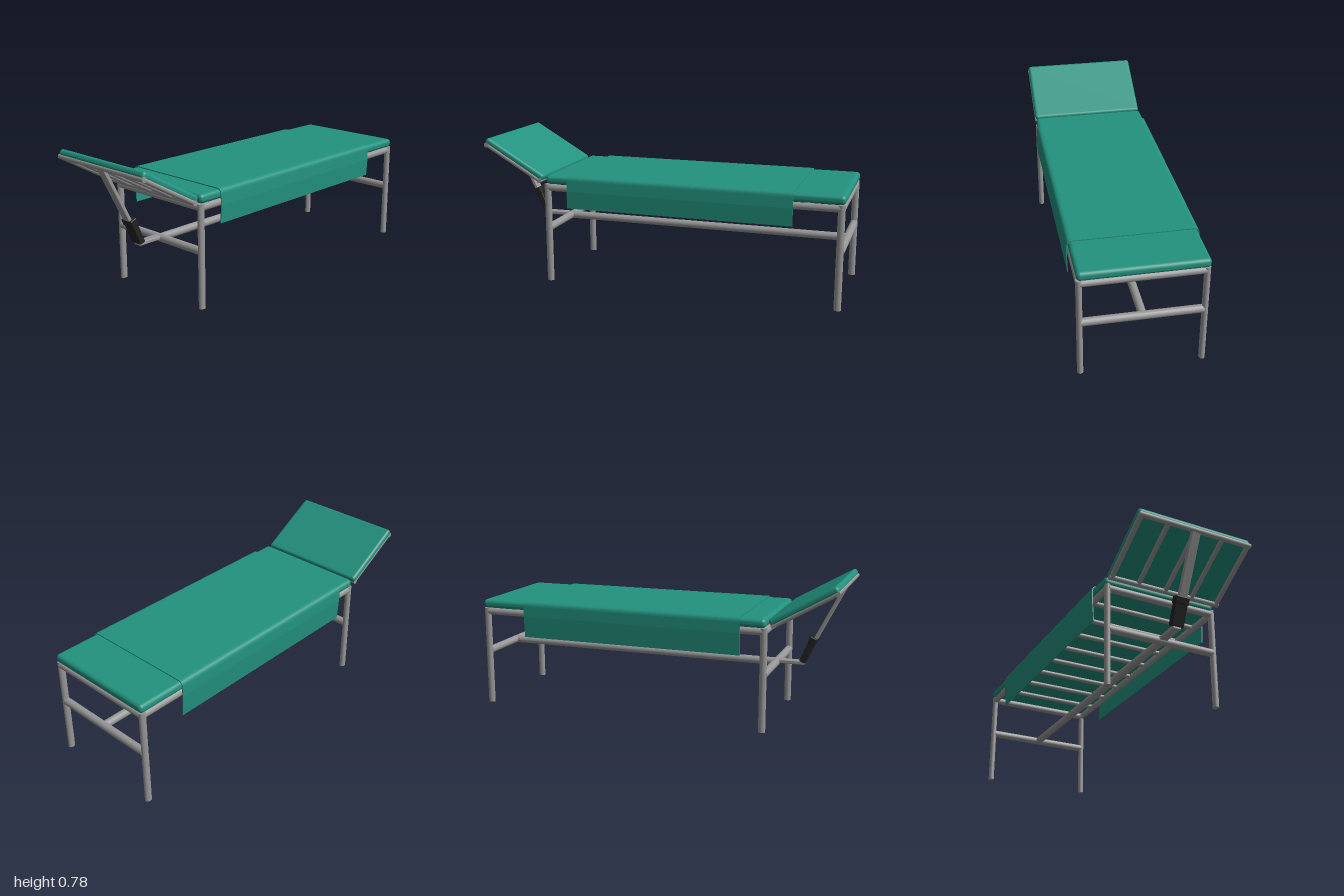
import * as THREE from 'three';
import { RoundedBoxGeometry } from 'three/addons/geometries/RoundedBoxGeometry.js';

export function createModel() {
  const model = new THREE.Group();
  model.name = 'examinationCouch';
  const mat = (name, color) => {
    const m = new THREE.MeshStandardMaterial({ color });
    m.name = name;
    return m;
  };
  const teal = mat('teal upholstery', 0x23927f);
  const grey = mat('grey tube', 0x979797);
  const black = mat('black grip', 0x232323);

  const add = (parent, name, geometry, material, x = 0, y = 0, z = 0) => {
    const mesh = new THREE.Mesh(geometry, material);
    mesh.name = name;
    mesh.position.set(x, y, z);
    parent.add(mesh);
    return mesh;
  };

  // Straight tube between two points
  const tube = (parent, name, a, b, r) => {
    const p = new THREE.Vector3(...a), q = new THREE.Vector3(...b);
    const d = q.clone().sub(p);
    const mesh = add(parent, name, new THREE.CylinderGeometry(r, r, d.length(), 20), grey);
    mesh.position.copy(p).add(q).multiplyScalar(0.5);
    mesh.quaternion.setFromUnitVectors(new THREE.Vector3(0, 1, 0), d.normalize());
    return mesh;
  };

  // Flat bar between two points in the z = 0 plane
  const bar = (name, a, b, thick, width, material) => {
    const dx = b[0] - a[0], dy = b[1] - a[1];
    const geometry = new RoundedBoxGeometry(thick, Math.hypot(dx, dy), width, 2, 0.005);
    const mesh = add(model, name, geometry, material, (a[0] + b[0]) / 2, (a[1] + b[1]) / 2, 0);
    mesh.rotation.z = Math.atan2(-dx, dy);
  };

  // Legs and end frames
  const headX = -0.62, footX = 0.975, sideZ = 0.305;
  for (const x of [headX, footX]) {
    for (const s of [-1, 1]) {
      const leg = tube(model, 'leg', [x, 0, s * sideZ], [x, 0.55, s * sideZ], 0.019);
      leg.scale.z = 0.82;
    }
    tube(model, 'endRail', [x, 0.531, -0.3], [x, 0.531, 0.3], 0.019);
    tube(model, 'crossBar', [x, 0.304, -0.3], [x, 0.304, 0.3], 0.021);
  }

  // Long rails, stretcher and bed slats
  for (const s of [-1, 1]) {
    const rail = tube(model, 'sideRail', [headX, 0.531, s * sideZ], [footX, 0.531, s * sideZ], 0.019);
    rail.scale.z = 0.82;
  }
  tube(model, 'stretcher', [headX, 0.304, 0], [footX, 0.304, 0], 0.021);
  for (let i = 1; i <= 8; i++) {
    const x = headX + (footX - headX) * i / 9;
    tube(model, 'bedSlat', [x, 0.536, -sideZ], [x, 0.536, sideZ], 0.013);
  }

  // Main mattress
  add(model, 'mattress', new RoundedBoxGeometry(1.625, 0.048, 0.638, 5, 0.02), teal, 0.183, 0.574, -0.002);

  // Sheet draped over both sides, drawn as a thin cross-section
  const drape = new THREE.Shape();
  drape.moveTo(0.324, 0.425);
  drape.lineTo(0.329, 0.52);
  drape.lineTo(0.326, 0.578);
  drape.quadraticCurveTo(0.324, 0.604, 0.298, 0.605);
  drape.lineTo(-0.302, 0.605);
  drape.quadraticCurveTo(-0.328, 0.604, -0.33, 0.578);
  drape.lineTo(-0.331, 0.52);
  drape.lineTo(-0.323, 0.402);
  drape.lineTo(-0.319, 0.402);
  drape.lineTo(-0.326, 0.52);
  drape.lineTo(-0.325, 0.578);
  drape.quadraticCurveTo(-0.323, 0.599, -0.302, 0.6);
  drape.lineTo(0.298, 0.6);
  drape.quadraticCurveTo(0.32, 0.599, 0.322, 0.578);
  drape.lineTo(0.324, 0.52);
  drape.lineTo(0.32, 0.425);
  drape.closePath();
  const sheet = new THREE.ExtrudeGeometry(drape, { depth: 1.235, bevelEnabled: false, curveSegments: 8 });
  sheet.rotateY(-Math.PI / 2);
  add(model, 'drapedSheet', sheet, teal, 0.735, 0, 0);

  // Raised headrest, tilted about its lower edge
  const head = new THREE.Group();
  head.name = 'headrest';
  head.position.set(-0.639, 0.594, 0);
  head.rotation.z = -Math.PI / 6;
  model.add(head);
  add(head, 'headPad', new RoundedBoxGeometry(0.392, 0.037, 0.638, 5, 0.016), teal, -0.195, -0.0185, -0.002);
  const frameY = -0.038, near = -0.012, far = -0.374;
  for (const s of [-1, 1]) {
    tube(head, 'headSideRail', [near, frameY, s * sideZ], [far, frameY, s * sideZ], 0.014);
  }
  for (const x of [near, far]) {
    tube(head, 'headEndRail', [x, frameY, -sideZ - 0.013], [x, frameY, sideZ + 0.013], 0.014);
  }
  for (const z of [-0.155, 0, 0.155]) {
    tube(head, 'headSlat', [near, frameY, z], [far, frameY, z], 0.013);
  }

  // Adjustable support strut
  bar('strutBase', [-0.61, 0.311], [-0.775, 0.311], 0.02, 0.045, grey);
  bar('strut', [-0.978, 0.742], [-0.79, 0.37], 0.02, 0.05, grey);
  bar('strutSleeve', [-0.822, 0.452], [-0.763, 0.318], 0.034, 0.07, black);
  bar('sleeveCollar', [-0.824, 0.456], [-0.808, 0.42], 0.04, 0.077, black);

  return model;
}
